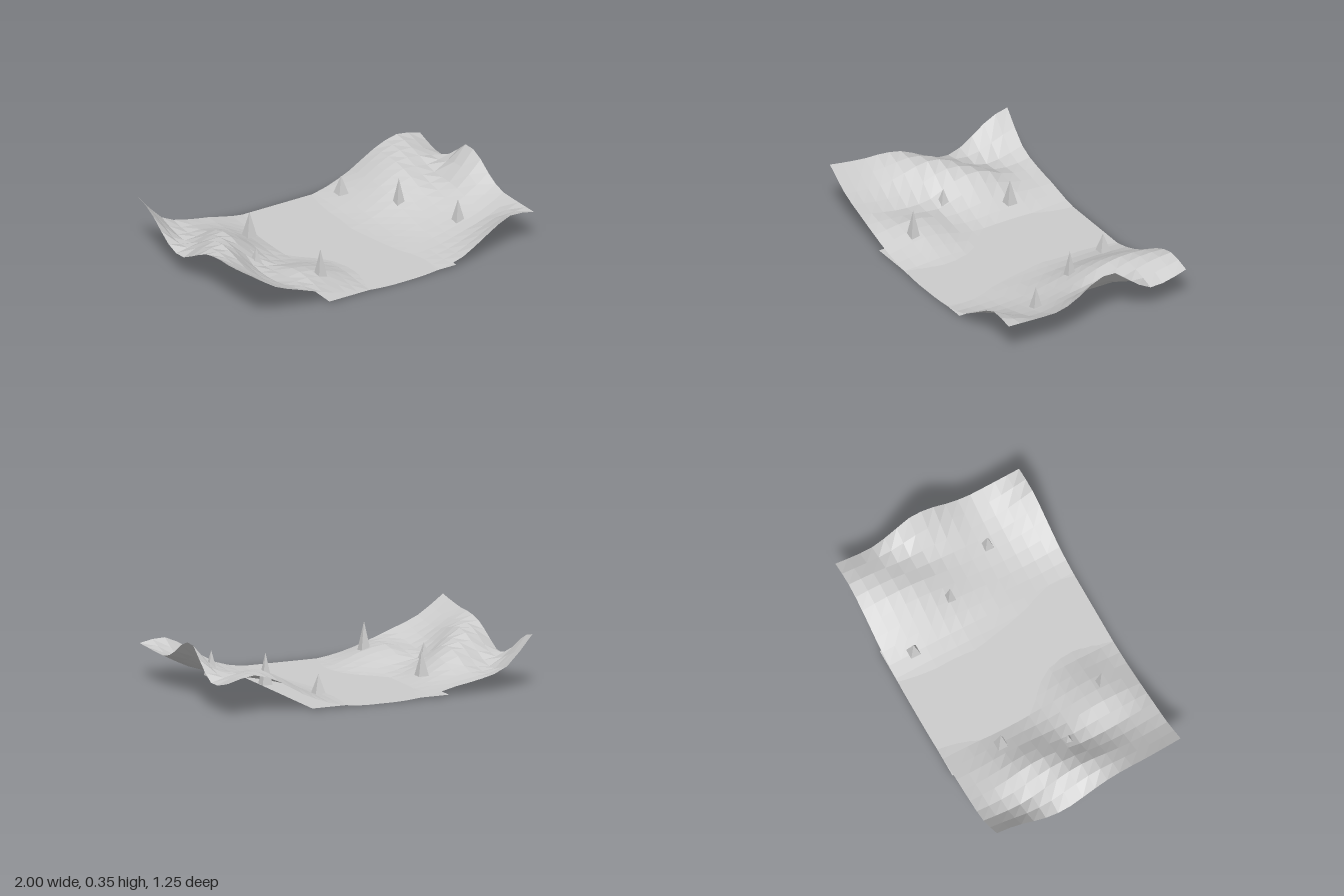
import * as THREE from 'three';

const WIDTH = 2, DEPTH = 1.25;

// Coarse height field: rows run back to front, columns run from x = -1 to x = 1
const HEIGHTS = [
  [0.33, 0.15, 0.09, 0.06, 0.022, 0.003, 0, 0.003, 0.035, 0.1, 0.195, 0.25, 0.215],
  [0.295, 0.115, 0.09, 0.06, 0.018, 0.002, 0, 0.006, 0.042, 0.125, 0.215, 0.24, 0.18],
  [0.21, 0.1, 0.12, 0.075, 0.012, 0.002, 0, 0.008, 0.045, 0.135, 0.217, 0.212, 0.17],
  [0.14, 0.14, 0.178, 0.085, 0.01, 0.002, 0, 0.008, 0.042, 0.132, 0.198, 0.178, 0.245],
  [0.14, 0.205, 0.19, 0.08, 0.01, 0.002, 0, 0.01, 0.038, 0.108, 0.157, 0.175, 0.348],
  [0.205, 0.25, 0.155, 0.06, 0.014, 0.003, 0, 0.008, 0.03, 0.078, 0.118, 0.175, 0.34],
  [0.265, 0.243, 0.1, 0.06, 0.035, 0.01, 0, 0.006, 0.025, 0.056, 0.092, 0.155, 0.265],
  [0.29, 0.21, 0.09, 0.1, 0.07, 0.02, 0, 0.004, 0.02, 0.04, 0.077, 0.127, 0.21],
  [0.295, 0.19, 0.1, 0.118, 0.085, 0.024, 0, 0.003, 0.014, 0.033, 0.075, 0.125, 0.205],
  [0.31, 0.195, 0.125, 0.11, 0.065, 0.016, 0, 0.002, 0.012, 0.038, 0.1, 0.17, 0.21],
  [0.33, 0.215, 0.15, 0.09, 0.04, 0.012, 0, 0.001, 0.014, 0.053, 0.15, 0.235, 0.215],
];

// Smooth interpolation through evenly spaced values, t in 0..1
function smooth(values, t) {
  const last = values.length - 1;
  const s = t * last;
  const i = Math.min(Math.floor(s + 1e-6), last - 1);
  const f = s - i;
  const b = values[i], c = values[i + 1];
  const a = i > 0 ? values[i - 1] : 2 * b - c;
  const d = i + 2 <= last ? values[i + 2] : 2 * c - b;
  return b + 0.5 * f * (c - a + f * (2 * a - 5 * b + 4 * c - d + f * (3 * (b - c) + d - a)));
}

function heightAt(x, z) {
  const u = x / WIDTH + 0.5, v = z / DEPTH + 0.5;
  return Math.max(0, smooth(HEIGHTS.map((row) => smooth(row, u)), v));
}

export function createModel() {
  const group = new THREE.Group();
  const grey = new THREE.MeshStandardMaterial({
    color: 0xcccccc, flatShading: true, side: THREE.DoubleSide,
  });
  grey.name = 'stone grey';

  const add = (name, geometry, x = 0, y = 0, z = 0) => {
    const mesh = new THREE.Mesh(geometry, grey);
    mesh.name = name;
    mesh.position.set(x, y, z);
    group.add(mesh);
  };

  // Valley terrain with rolling hills; the quarter turn sets the direction of the facet diagonals
  const terrain = new THREE.PlaneGeometry(DEPTH, WIDTH, 15, 24)
    .rotateX(-Math.PI / 2).rotateY(Math.PI / 2);
  const p = terrain.attributes.position;
  for (let i = 0; i < p.count; i++) p.setY(i, heightAt(p.getX(i), p.getZ(i)));
  terrain.computeVertexNormals();
  add('terrain', terrain);

  // Flat strip along the valley bottom
  add('valleyFloor', new THREE.PlaneGeometry(0.9, DEPTH).rotateX(-Math.PI / 2), 0, 0.012, 0);

  // Four-sided spires: x, z, height, all starting at the same level
  const base = 0.064;
  const spires = [
    [-0.613, 0.07, 0.116], [-0.43, -0.285, 0.156], [-0.385, 0.425, 0.196],
    [0.333, -0.46, 0.116], [0.517, -0.11, 0.196], [0.706, 0.248, 0.156],
  ];
  spires.forEach(([x, z, h], i) => {
    const spire = new THREE.ConeGeometry(0.046, h, 4).rotateY(Math.PI / 4);
    add(`spire${i + 1}`, spire, x, base + h / 2, z);
  });

  return group;
}
